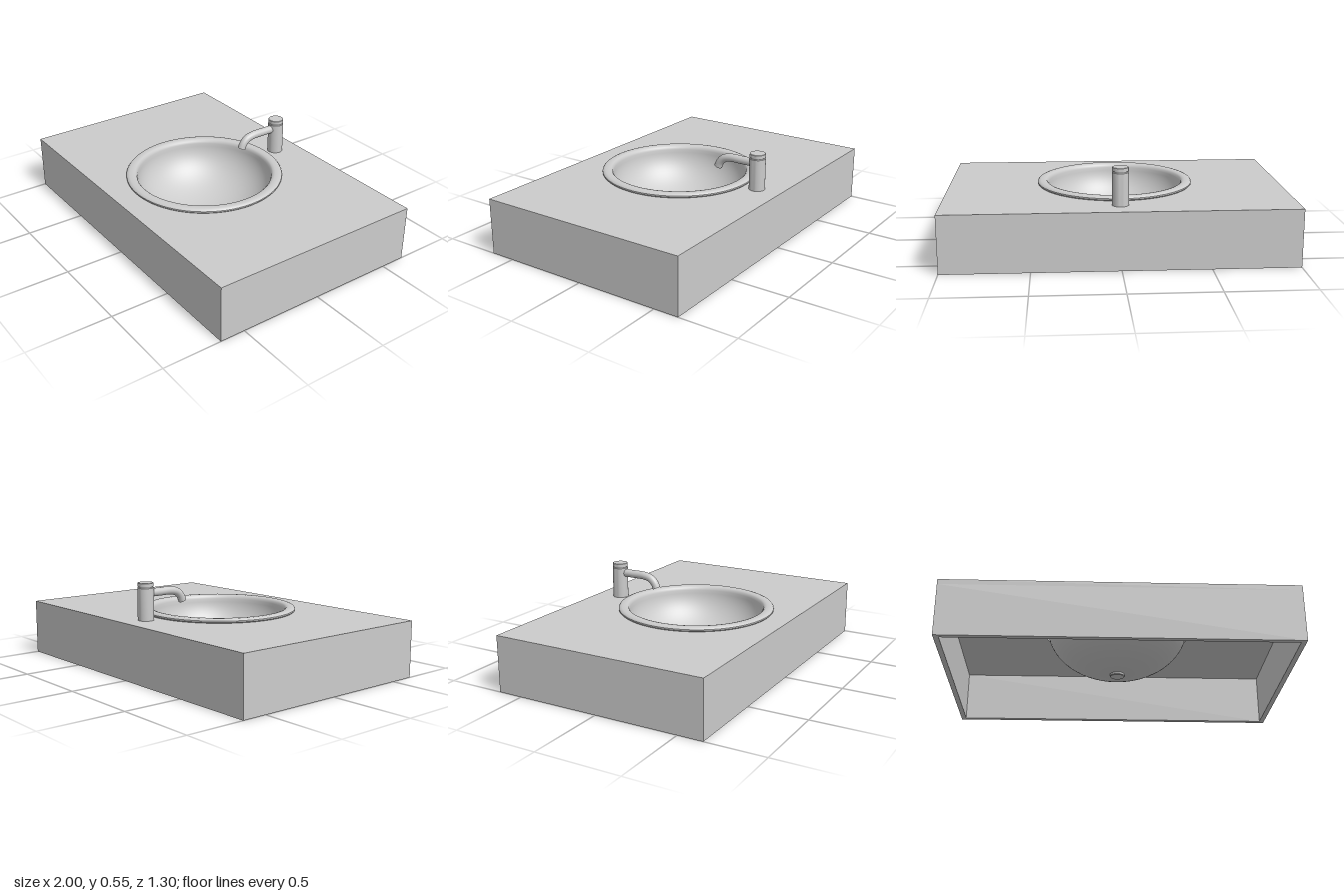
import * as THREE from 'three';
import { toCreasedNormals } from 'three/addons/utils/BufferGeometryUtils.js';

const material = new THREE.MeshStandardMaterial({ color: 0xcccccc });
const W = 2, D = 1.3, TOP = 0.335, SLAB = 0.03;
const BASIN_Z = 0.05, FAUCET_Z = -0.498;

function addMesh(parent, name, geometry, x = 0, y = 0, z = 0) {
  const mesh = new THREE.Mesh(geometry, material);
  mesh.name = name;
  mesh.position.set(x, y, z);
  parent.add(mesh);
  return mesh;
}

function rectangle(w, d, Type = THREE.Shape) {
  return new Type([[-1, -1], [1, -1], [1, 1], [-1, 1]]
    .map(([x, y]) => new THREE.Vector2(x * w / 2, y * d / 2)));
}

// Extrudes a floor plan upwards
function extrudeUp(shape, height) {
  return new THREE.ExtrudeGeometry(shape, { depth: height, bevelEnabled: false }).rotateX(-Math.PI / 2);
}

// Turns a list of [radius, height] pairs
function turned(profile, segments = 64) {
  const points = profile.map(([r, y]) => new THREE.Vector2(r, y));
  return toCreasedNormals(new THREE.LatheGeometry(points, segments), 0.6);
}

// Quarter of an ellipse, from the drain opening out to the given radius
function bowlCurve(radius, topY, bottomY, innerRadius, steps = 20) {
  const start = Math.asin(innerRadius / radius);
  return Array.from({ length: steps + 1 }, (_, i) => {
    const a = start + (Math.PI / 2 - start) * i / steps;
    return [radius * Math.sin(a), topY - (topY - bottomY) * Math.cos(a)];
  });
}

function createCounter() {
  const counter = new THREE.Group();
  counter.name = 'counter';

  // Worktop with an eight-sided cut-out hidden under the basin rim
  const top = rectangle(W, D);
  top.holes.push(new THREE.Path(Array.from({ length: 8 }, (_, i) => {
    const a = i * Math.PI / 4;
    return new THREE.Vector2(0.46 * Math.cos(a), 0.46 * Math.sin(a) - BASIN_Z);
  })));
  addMesh(counter, 'worktop', extrudeUp(top, SLAB), 0, TOP - SLAB, 0);

  // Open frame of apron walls
  const frame = rectangle(W, D);
  frame.holes.push(rectangle(W - 2 * SLAB, D - 2 * SLAB, THREE.Path));
  addMesh(counter, 'apron', extrudeUp(frame, TOP - SLAB));
  return counter;
}

function createBasin() {
  const basin = new THREE.Group();
  basin.name = 'basin';
  basin.position.z = BASIN_Z;

  // Bowl shell: up the outside, over the rim and down the inside
  addMesh(basin, 'bowl', turned([
    ...bowlCurve(0.42, TOP, 0.038, 0.04),
    [0.462, TOP], [0.468, 0.341], [0.468, 0.349], [0.462, 0.356], [0.45, 0.36],
    [0.428, 0.36], [0.415, 0.357], [0.407, 0.349],
    ...bowlCurve(0.403, TOP, 0.052, 0.04).reverse(),
  ], 72));

  // Drain cup, flange and cross grate
  addMesh(basin, 'drainCup', turned([
    [0, 0.025], [0.04, 0.025], [0.044, 0.029], [0.044, 0.06], [0.036, 0.06], [0.036, 0.034], [0, 0.034],
  ], 32));
  addMesh(basin, 'drainRing', new THREE.TorusGeometry(0.041, 0.005, 8, 32).rotateX(Math.PI / 2), 0, 0.058, 0);
  for (const angle of [0, Math.PI / 2]) {
    addMesh(basin, 'drainBar', new THREE.BoxGeometry(0.078, 0.008, 0.009), 0, 0.055, 0).rotation.y = angle;
  }
  return basin;
}

function createFaucet() {
  const faucet = new THREE.Group();
  faucet.name = 'faucet';
  faucet.position.z = FAUCET_Z;

  // Upright body with a groove below the control cap
  addMesh(faucet, 'faucetBody', turned([
    [0, TOP], [0.047, TOP], [0.047, 0.522], [0.044, 0.526], [0, 0.526],
  ], 32));
  addMesh(faucet, 'faucetCap', turned([
    [0.041, 0.525], [0.041, 0.53], [0.046, 0.53], [0.046, 0.55], [0.044, 0.552], [0, 0.552],
  ], 32));

  // Spout bending down over the bowl
  const path = new THREE.CatmullRomCurve3([
    [0.49, 0], [0.49, 0.1], [0.489, 0.18], [0.477, 0.225], [0.452, 0.252], [0.421, 0.267],
  ].map(([y, z]) => new THREE.Vector3(0, y, z)));
  addMesh(faucet, 'spout', new THREE.TubeGeometry(path, 28, 0.024, 20));

  // Outlet face with a recessed nozzle
  const outlet = new THREE.Group();
  outlet.name = 'outlet';
  outlet.position.copy(path.getPoint(1));
  outlet.quaternion.setFromUnitVectors(new THREE.Vector3(0, 1, 0), path.getTangent(1));
  addMesh(outlet, 'nozzle', turned([
    [0.024, -0.004], [0.024, 0], [0.018, 0], [0.018, -0.012], [0, -0.012],
  ], 20));
  faucet.add(outlet);
  return faucet;
}

export function createModel() {
  const model = new THREE.Group();
  model.name = 'washbasinCounter';
  model.add(createCounter(), createBasin(), createFaucet());
  return model;
}
